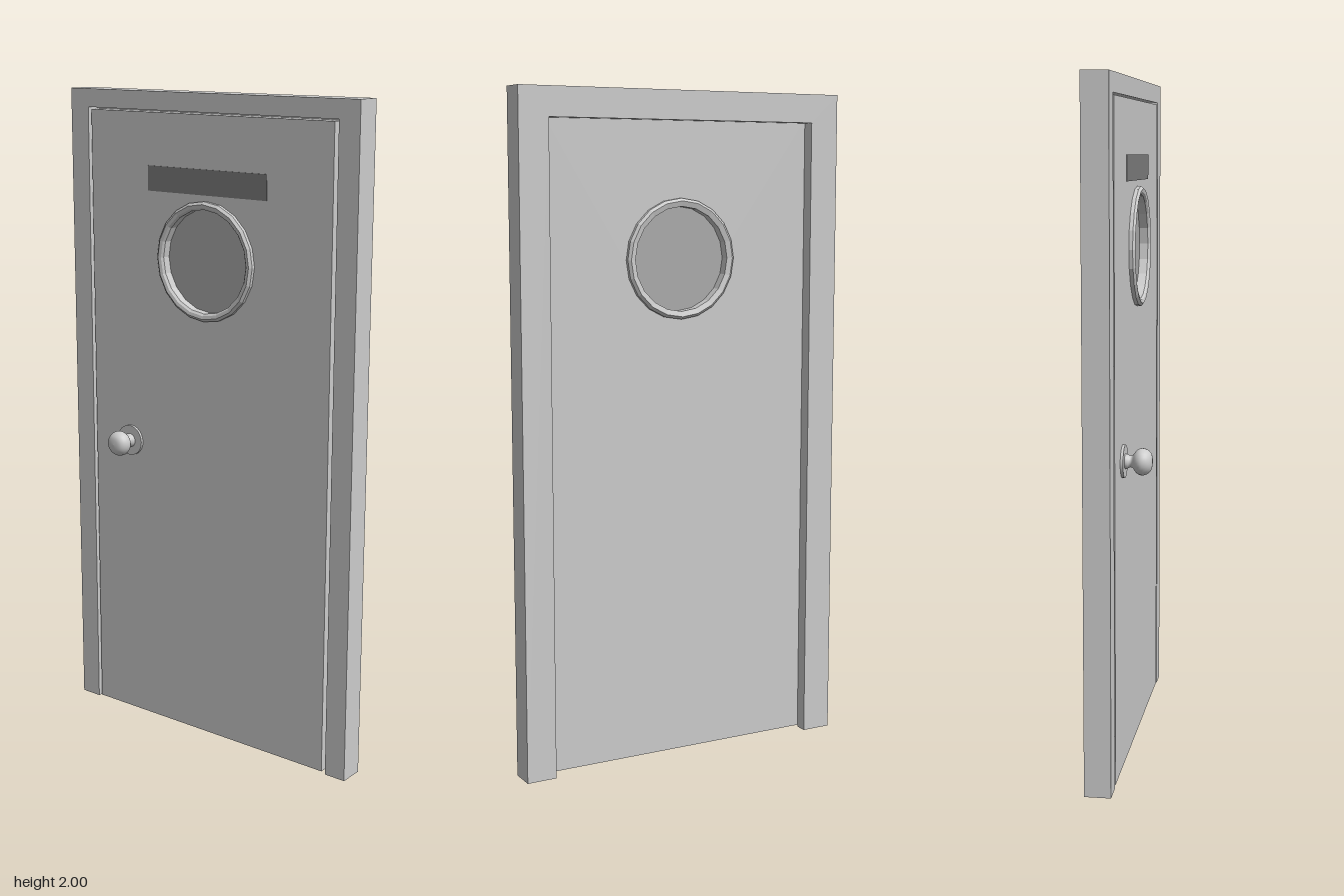
import * as THREE from 'three';

const grey = new THREE.MeshStandardMaterial({ color: 0xcccccc });
const glassGrey = new THREE.MeshStandardMaterial({ color: 0xaaaaaa });
const plateGrey = new THREE.MeshStandardMaterial({ color: 0x7d7d7d });

const BACK = -0.083, MID = -0.045, FRONT = -0.006;
const WINDOW_Y = 1.513;

function part(name, geometry, material = grey) {
  const mesh = new THREE.Mesh(geometry, material);
  mesh.name = name;
  return mesh;
}

function extrude(shape, z0, z1) {
  return new THREE.ExtrudeGeometry(shape, { depth: z1 - z0, bevelEnabled: false, curveSegments: 20 })
    .translate(0, 0, z0);
}

// Upside-down U: two jambs and a head in one outline
function archway(halfOuter, top, halfInner, innerTop) {
  return new THREE.Shape([
    [-halfOuter, 0], [-halfInner, 0], [-halfInner, innerTop], [halfInner, innerTop],
    [halfInner, 0], [halfOuter, 0], [halfOuter, top], [-halfOuter, top],
  ].map(([x, y]) => new THREE.Vector2(x, y)));
}

// Turned form whose axis points along +z
function turned(points, segments) {
  return new THREE.LatheGeometry(points.map(([r, h]) => new THREE.Vector2(r, h)), segments)
    .rotateX(Math.PI / 2);
}

export function createModel() {
  const model = new THREE.Group();
  model.name = 'door';

  // Rebated frame: wide opening in front, narrower stop behind
  const frame = new THREE.Group();
  frame.name = 'frame';
  frame.add(
    part('frameFront', extrude(archway(0.527, 2, 0.458, 1.945), MID, FRONT)),
    part('frameStop', extrude(archway(0.527, 2, 0.435, 1.915), BACK, MID)),
  );
  model.add(frame);

  // Door leaf with a round window opening
  const leaf = new THREE.Shape([
    new THREE.Vector2(-0.445, 0.006), new THREE.Vector2(0.445, 0.006),
    new THREE.Vector2(0.445, 1.939), new THREE.Vector2(-0.445, 1.939),
  ]);
  leaf.holes.push(new THREE.Path().absarc(0, WINDOW_Y, 0.16, 0, Math.PI * 2, true));
  model.add(part('doorLeaf', extrude(leaf, MID, FRONT)));

  // Window: bevelled ring passing through the leaf, with a pane inside
  const porthole = new THREE.Group();
  porthole.name = 'roundWindow';
  const ring = turned([
    [0.154, -0.058], [0.17, -0.063], [0.178, -0.056], [0.178, 0.005],
    [0.17, 0.012], [0.16, 0.01], [0.154, 0.004], [0.154, -0.058],
  ], 20).toNonIndexed();
  ring.computeVertexNormals();
  const pane = new THREE.CylinderGeometry(0.157, 0.157, 0.008, 20)
    .rotateX(Math.PI / 2).translate(0, 0, -0.0255);
  porthole.add(part('windowRing', ring), part('windowPane', pane, glassGrey));
  porthole.position.y = WINDOW_Y;
  model.add(porthole);

  // Flat sign plate above the window
  const plate = part('signPlate', new THREE.BoxGeometry(0.44, 0.075, 0.002), plateGrey);
  plate.position.set(0, 1.745, FRONT + 0.001);
  model.add(plate);

  // Knob: thin round backplate, flared neck and flattened ball
  const knob = new THREE.Group();
  knob.name = 'knob';
  const rose = new THREE.CylinderGeometry(0.048, 0.048, 0.008, 24)
    .rotateX(Math.PI / 2).translate(0, 0, -0.002);
  const profile = new THREE.SplineCurve([
    [0.022, 0], [0.021, 0.008], [0.017, 0.015], [0.018, 0.023], [0.032, 0.034],
    [0.039, 0.048], [0.035, 0.065], [0.022, 0.077], [0.0, 0.08],
  ].map(([r, h]) => new THREE.Vector2(r, h))).getPoints(24).map((p) => [Math.max(p.x, 0), p.y]);
  knob.add(part('knobRose', rose), part('knobHandle', turned(profile, 24)));
  knob.position.set(-0.3, 0.92, 0);
  model.add(knob);

  return model;
}
